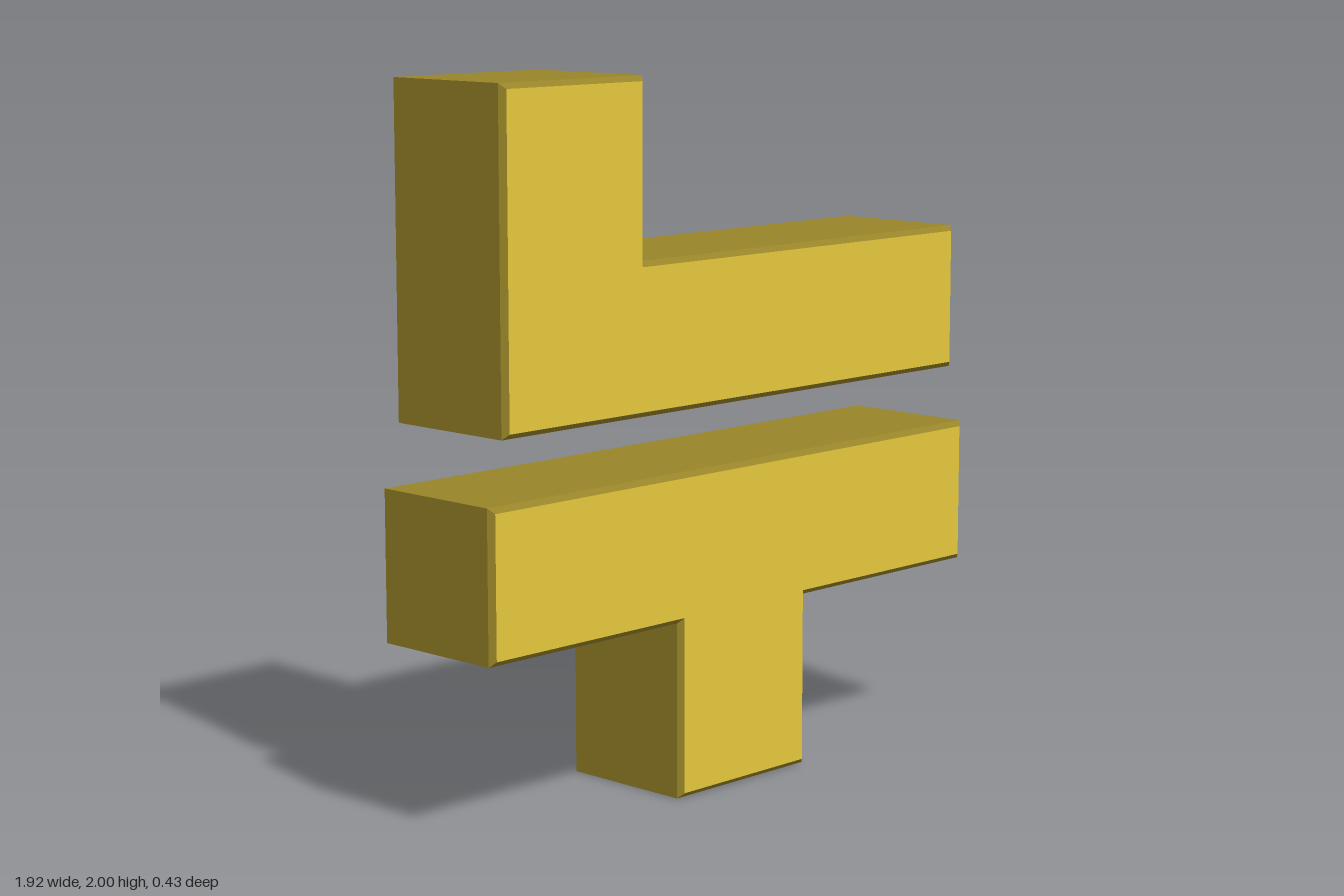
import * as THREE from 'three';

const DEPTH = 0.43;
const BEVEL = 0.015;

// Extrude an outline into a slab with chamfered rims, centred on z = 0;
// materials are [flat front and back, sides and chamfers]
function makeSlab(name, outline, materials) {
  const shape = new THREE.Shape(outline.map(([x, y]) => new THREE.Vector2(x, y)));
  const geometry = new THREE.ExtrudeGeometry(shape, {
    depth: DEPTH - 2 * BEVEL,
    bevelEnabled: true,
    bevelThickness: BEVEL,
    bevelSize: BEVEL,
    bevelOffset: -BEVEL,
    bevelSegments: 1,
  });
  geometry.translate(0, 0, BEVEL - DEPTH / 2);
  const mesh = new THREE.Mesh(geometry, materials);
  mesh.name = name;
  return mesh;
}

export function createModel() {
  const brightGold = new THREE.MeshStandardMaterial({ color: 0xe4c83c });
  brightGold.name = 'brightGold';
  const darkGold = new THREE.MeshStandardMaterial({ color: 0x988428 });
  darkGold.name = 'darkGold';
  const materials = [brightGold, darkGold];

  const model = new THREE.Group();
  model.name = 'interlockingBlocks';

  // Upper block: long bar with an upright at its right end
  model.add(makeSlab('upperLBlock', [
    [-0.907, 1.087], [0.905, 1.087], [0.905, 1.508],
    [-0.39, 1.508], [-0.39, 2], [-0.907, 2],
  ], materials));

  // Lower block: long bar with a central stem pointing down
  model.add(makeSlab('lowerTBlock', [
    [-0.26, 0], [0.257, 0], [0.257, 0.497], [0.957, 0.497],
    [0.957, 0.917], [-0.96, 0.917], [-0.96, 0.497], [-0.26, 0.497],
  ], materials));

  return model;
}
